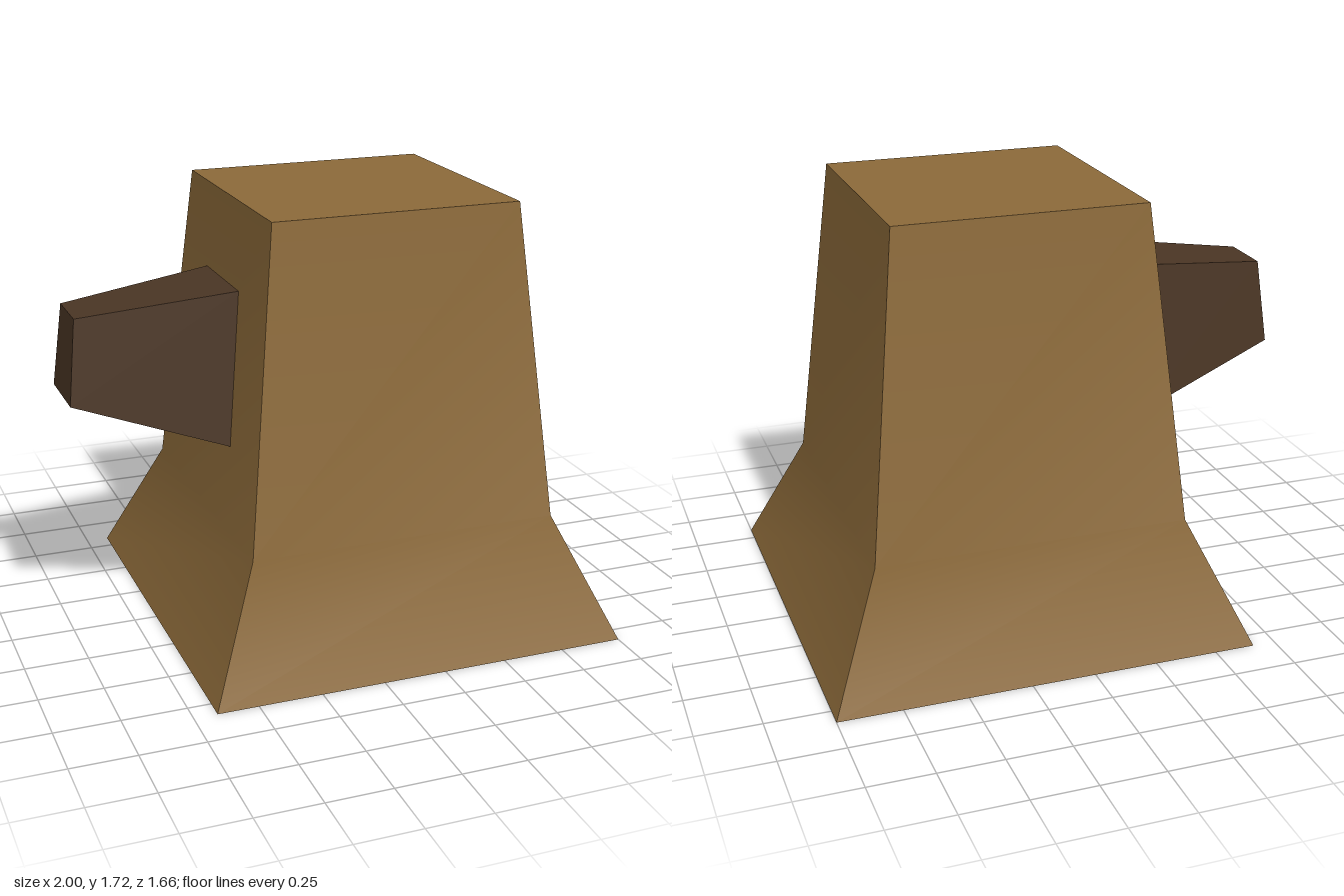
import * as THREE from 'three';

// One strip of quads between two rails of points (left and right, bottom to top).
// Rows within a strip share vertices, so it shades smoothly; strips stay creased.
function strip(left, right) {
  const points = [], index = [];
  left.forEach((p, i) => {
    points.push(...p, ...right[i]);
    if (i) {
      const a = 2 * i - 2;
      index.push(a, a + 1, a + 3, a, a + 3, a + 2);
    }
  });
  const g = new THREE.BufferGeometry();
  g.setAttribute('position', new THREE.Float32BufferAttribute(points, 3));
  g.setIndex(index);
  g.computeVertexNormals();
  return g;
}

export function createModel() {
  const bark = new THREE.MeshStandardMaterial({ color: 0x8b6939 });
  const darkBark = new THREE.MeshStandardMaterial({ color: 0x4a3524 });
  bark.name = 'bark';
  darkBark.name = 'dark bark';

  const model = new THREE.Group();
  model.name = 'stump';
  const add = (parent, name, geometry, material) => {
    const mesh = new THREE.Mesh(geometry, material);
    mesh.name = name;
    parent.add(mesh);
  };

  // Square trunk with a flared foot: [height, half width]
  const trunk = new THREE.Group();
  trunk.name = 'trunk';
  trunk.position.x = 0.17;
  model.add(trunk);
  const profile = [[0, 0.83], [0.48, 0.617], [1.72, 0.49]];
  ['front', 'left', 'back', 'right'].forEach((side, i) => {
    const g = strip(profile.map(([y, r]) => [-r, y, r]), profile.map(([y, r]) => [r, y, r]));
    add(trunk, side + 'Side', g.rotateY(i * Math.PI / 2), bark);
  });
  const cap = (y, r, up) => new THREE.PlaneGeometry(2 * r, 2 * r)
    .rotateX(up ? -Math.PI / 2 : Math.PI / 2).translate(0, y, 0);
  add(trunk, 'cutTop', cap(1.72, 0.49, true), bark);
  add(trunk, 'underside', cap(0, 0.83, false), bark);

  // Tapered branch stub, its root set against the right side of the trunk
  const branch = new THREE.Group();
  branch.name = 'branch';
  model.add(branch);
  const section = (xb, yb, zb, xt, yt, zt) =>
    [[xb, yb, -zb], [xb, yb, zb], [xt, yt, zt], [xt, yt, -zt]];
  const root = section(-0.413, 0.8, 0.258, -0.353, 1.395, 0.2);
  const tip = section(-1, 0.995, 0.145, -0.965, 1.325, 0.112);
  ['underside', 'front', 'top', 'back'].forEach((side, i) => {
    const j = (i + 1) % 4;
    add(branch, side + 'Face', strip([tip[i], tip[j]], [root[i], root[j]]), darkBark);
  });
  add(branch, 'cutEnd', strip([tip[0], tip[3]], [tip[1], tip[2]]), darkBark);

  return model;
}
